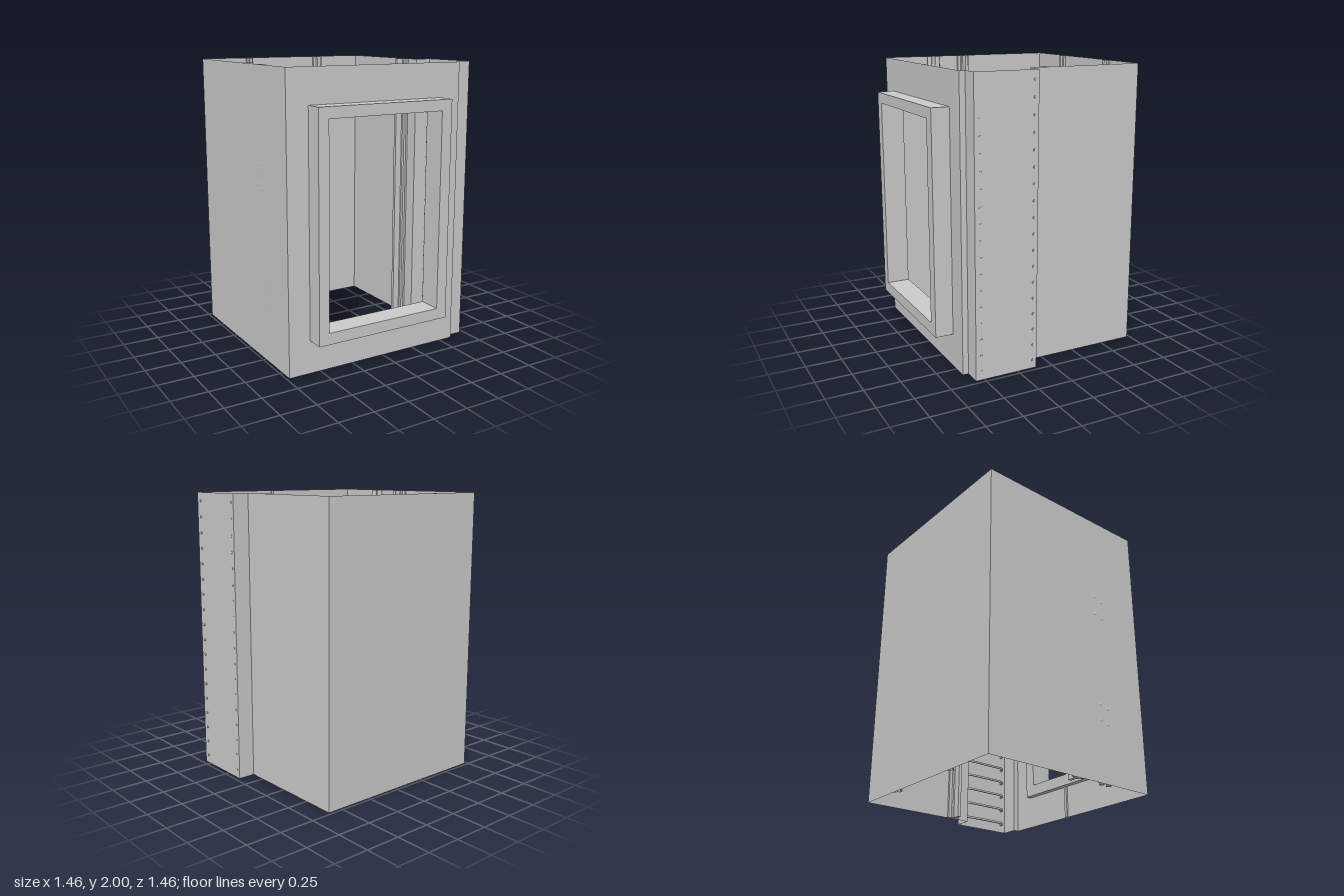
import * as THREE from 'three';

const H = 2;
const grey = new THREE.MeshStandardMaterial({ color: 0xcccccc });
const sheet = new THREE.MeshStandardMaterial({ color: 0xcccccc, side: THREE.DoubleSide });

// Open sheet: a plan outline of [x, z] points raised from y0 to y1
function ribbon(points, y0 = 0, y1 = H) {
  const pos = [];
  for (let i = 0; i < points.length - 1; i++) {
    const [ax, az] = points[i], [bx, bz] = points[i + 1];
    pos.push(ax, y0, az, bx, y0, bz, bx, y1, bz, ax, y0, az, bx, y1, bz, ax, y1, az);
  }
  const g = new THREE.BufferGeometry();
  g.setAttribute('position', new THREE.Float32BufferAttribute(pos, 3));
  g.computeVertexNormals();
  return g;
}

// Counter-clockwise rectangle, usable as a shape or a hole
function rect(PathType, x0, y0, x1, y1) {
  return new PathType([[x0, y0], [x1, y0], [x1, y1], [x0, y1]].map(p => new THREE.Vector2(...p)));
}

export function createModel() {
  const model = new THREE.Group();
  const add = (name, geometry, material = grey, parent = model) => {
    const m = new THREE.Mesh(geometry, material);
    m.name = name;
    parent.add(m);
    return m;
  };

  // Thin shaft walls with the ladder recess on the left side
  add('shaftWalls', ribbon([
    [-0.73, 0.6], [-0.73, -0.73], [0.6, -0.73], [0.6, 0.11],
    [0.72, 0.11], [0.72, 0.56], [0.6, 0.56], [0.6, 0.6],
  ]), sheet);

  // Front wall with the doorway cut out
  const front = rect(THREE.Shape, -0.73, 0, 0.6, H);
  front.holes.push(rect(THREE.Path, -0.53, 0.27, 0.4, 1.73));
  add('frontWall', new THREE.ShapeGeometry(front), sheet).position.z = 0.6;

  // Deep frame around the doorway
  const frame = rect(THREE.Shape, -0.575, 0.23, 0.445, 1.765);
  frame.holes.push(rect(THREE.Path, -0.5, 0.31, 0.365, 1.69));
  add('doorFrame', new THREE.ExtrudeGeometry(frame, { depth: 0.165, bevelEnabled: false })).position.z = 0.56;

  // Folded strips on the back wall
  for (const [x, w] of [[-0.355, 0.025], [0.235, 0.037]]) {
    add('backStrip', ribbon([
      [x - w, -0.73], [x - w, -0.715], [x - w * 0.4, -0.715], [x - w * 0.4, -0.695],
      [x + w * 0.4, -0.695], [x + w * 0.4, -0.715], [x + w, -0.715], [x + w, -0.73],
    ]), sheet);
  }

  // Narrow strip inside the front wall, above and below the frame
  for (const [y0, y1] of [[0, 0.25], [1.75, H]]) {
    add('frontStrip', ribbon([[0.032, 0.6], [0.032, 0.588], [0.054, 0.588], [0.054, 0.6]], y0, y1), sheet);
  }

  // T-shaped guide rails: half profile as [distance from wall, half width]
  const half = [[0.002, 0.045], [0.016, 0.045], [0.018, 0.023], [0.03, 0.019], [0.035, 0.012], [0.085, 0.012]];
  const profile = [...half, ...half.slice().reverse().map(([d, w]) => [d, -w])];
  for (const side of [-1, 1]) {
    const shape = new THREE.Shape(profile.map(([d, w]) => new THREE.Vector2(side < 0 ? -0.73 + d : 0.6 - d, w)));
    const g = new THREE.ExtrudeGeometry(shape, { depth: H, bevelEnabled: false });
    g.rotateX(-Math.PI / 2);
    add(side < 0 ? 'rightGuideRail' : 'leftGuideRail', g).position.z = -0.027;
  }

  // Pair of vertical pipes with rounded couplings
  for (const [z, heights] of [[0.195, [0.43, 0.54, 1.22, 1.355]], [0.258, [0.41, 0.52, 1.2, 1.33]]]) {
    const pipe = new THREE.Group();
    pipe.name = 'wallPipe';
    pipe.position.set(-0.705, 0, z);
    model.add(pipe);
    add('pipe', new THREE.CylinderGeometry(0.018, 0.018, H, 16), grey, pipe).position.y = H / 2;
    for (const y of heights) {
      add('coupling', new THREE.SphereGeometry(0.028, 16, 12), grey, pipe).position.y = y;
    }
  }

  // Ladder rungs bent from round bar, their ends passing through the recess wall
  const bend = [[0.725, 0.138], [0.69, 0.15], [0.672, 0.17], [0.667, 0.205]];
  const pts = [...bend, ...bend.slice().reverse().map(([x, z]) => [x, 0.66 - z])]
    .map(([x, z]) => new THREE.Vector3(x, 0, z));
  const path = new THREE.CurvePath();
  path.add(new THREE.CatmullRomCurve3(pts.slice(0, 4)));
  path.add(new THREE.LineCurve3(pts[3], pts[4]));
  path.add(new THREE.CatmullRomCurve3(pts.slice(4)));
  const rung = new THREE.TubeGeometry(path, 40, 0.009, 8);
  const cap = new THREE.CircleGeometry(0.009, 8).rotateY(Math.PI / 2);
  for (let i = 0; i < 18; i++) {
    const g = new THREE.Group();
    g.name = 'ladderRung';
    g.position.y = 0.06 + i * 0.1106;
    model.add(g);
    add('rungBar', rung, grey, g);
    for (const z of [0.138, 0.522]) add('rungEnd', cap, sheet, g).position.set(0.725, 0, z);
  }

  return model;
}
